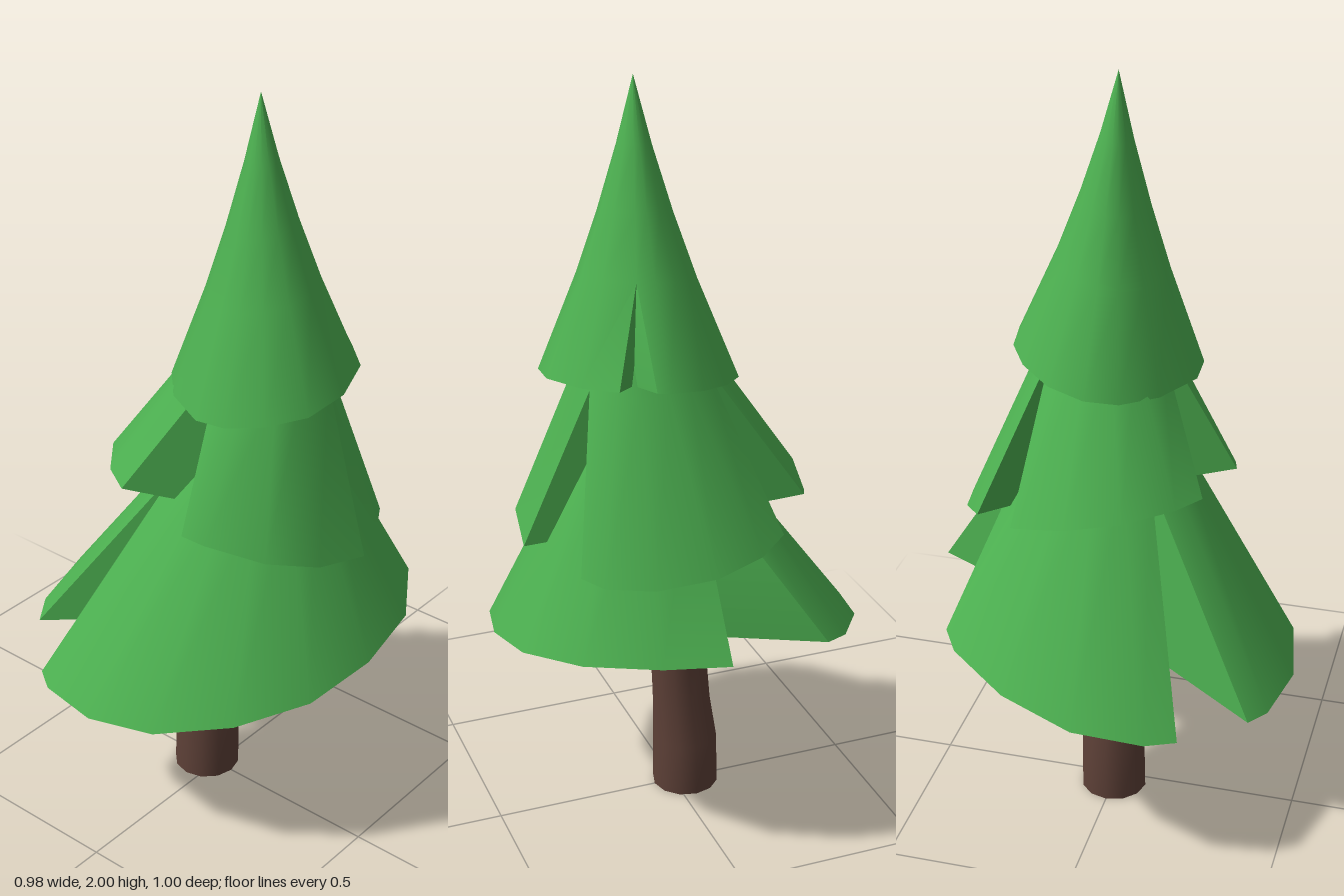
import * as THREE from 'three';
import { toCreasedNormals } from 'three/addons/utils/BufferGeometryUtils.js';

const V = (x, y, z) => new THREE.Vector3(x, y, z);

// Turns a list of triangles (Vector3 triples) into a softly creased geometry.
function fromTriangles(tris) {
  const solid = tris.filter(([a, b, c]) => b.clone().sub(a).cross(c.clone().sub(a)).length() > 1e-8);
  const geo = new THREE.BufferGeometry().setFromPoints(solid.flat());
  return toCreasedNormals(geo, 0.7);
}

// Skins stacked rings of equal point count; the first is the bottom.
function skin(rings) {
  const tris = [];
  for (let k = 0; k + 1 < rings.length; k++) {
    const a = rings[k], b = rings[k + 1], n = a.length;
    for (let i = 0; i < n; i++) {
      const j = (i + 1) % n;
      tris.push([a[i], a[j], b[j]], [a[i], b[j], b[i]]);
    }
  }
  return tris;
}

// Closes the bottom ring with a fan round a centre point.
function cap(ring, centre) {
  return ring.map((p, i) => [centre, ring[(i + 1) % ring.length], p]);
}

// One leaning cone of foliage. The rim is a list of [x, z], where a third
// entry marks the inner corner of a split that closes at height fraction `split`.
function foliageTier({ rim, centre, plane, tip, split, curve }) {
  const [c, a, b] = plane;
  const onPlane = (x, z) => V(x, c + a * x + b * z, z);
  const mid = onPlane(...centre);
  const base = rim.map(([x, z]) => onPlane(x, z));
  const n = rim.length;
  // Rim with each split pulled together into a single outer point
  const closed = base.map((p) => p.clone());
  rim.forEach((r, i) => {
    if (!r[2]) return;
    const before = (i + n - 1) % n, after = (i + 1) % n;
    const p = base[before].clone().sub(mid), q = base[after].clone().sub(mid);
    const radius = (p.length() + q.length()) / 2;
    const joined = p.add(q).setLength(radius).add(mid);
    for (const k of [before, i, after]) closed[k].copy(joined);
  });
  const ringAt = (t) => closed.map((p) => {
    const s = (1 - t) * (1 - curve * t);
    return V(
      tip.x + (p.x - tip.x) * s,
      p.y + (tip.y - p.y) * t,
      tip.z + (p.z - tip.z) * s
    );
  });
  const rings = [base, ...[0, 0.33, 0.66, 1].map((f) => ringAt(split + (1 - split) * f))];
  return fromTriangles([...skin(rings), ...cap(base, mid)]);
}

const TIERS = [
  {
    name: 'lowerFoliage', centre: [0.02, 0.02], plane: [0.53, 0.2, 0.08],
    tip: V(0.06, 1.34, 0.14), split: 0.6, curve: 0,
    rim: [
      [-0.415, -0.26], [-0.455, -0.2], [-0.49, -0.02], [-0.455, 0.17], [-0.34, 0.34],
      [-0.18, 0.46], [0.01, 0.5], [0.2, 0.48], [0.36, 0.375], [0.455, 0.2], [0.49, 0.03],
      [0.25, -0.03, 1],
      [0.39, -0.275], [0.345, -0.345], [0.185, -0.45], [-0.01, -0.5], [-0.19, -0.465], [-0.265, -0.415],
      [-0.107, -0.115, 1],
    ],
  },
  {
    name: 'middleFoliage', centre: [0.06, 0.06], plane: [0.915, -0.18, -0.155],
    tip: V(0.08, 1.62, 0.15), split: 0.54, curve: 0,
    rim: [
      [-0.29, 0.13], [-0.275, 0.19], [-0.2, 0.325], [-0.085, 0.405], [0.07, 0.43],
      [0.105, 0.253, 1],
      [0.255, 0.34], [0.32, 0.3], [0.385, 0.19], [0.412, 0.04], [0.385, -0.09], [0.33, -0.17],
      [0.16, -0.02, 1],
      [0.205, -0.28], [0.19, -0.288], [0.055, -0.315], [-0.085, -0.285], [-0.2, -0.19], [-0.25, -0.105],
      [-0.114, 0.054, 1],
    ],
  },
  {
    name: 'upperFoliage', centre: [0.055, 0.105], plane: [1.235, 0.15, 0.09],
    tip: V(0.027, 2, 0.112), split: 0.34, curve: 0.3,
    rim: [
      [-0.187, 0.09], [-0.185, 0.18], [-0.14, 0.268], [-0.06, 0.34], [0.06, 0.355], [0.19, 0.31], [0.258, 0.235],
      [0.19, 0.175, 1],
      [0.288, 0.15], [0.297, 0.12], [0.285, 0.03], [0.235, -0.05], [0.15, -0.118],
      [0.05, -0.143], [-0.035, -0.12], [-0.12, -0.04],
    ],
  },
];

// Trunk cross-sections: height, centre x, centre z, radius
const TRUNK = [
  [0, 0, -0.035, 0.09],
  [0.15, 0.002, -0.033, 0.088],
  [0.27, -0.002, -0.024, 0.079],
  [0.42, 0.005, -0.012, 0.076],
  [0.54, 0.012, -0.006, 0.07],
  [0.7, 0.025, 0.02, 0.05],
];

function trunkGeometry(sides = 12) {
  const rings = TRUNK.map(([y, x, z, r]) => Array.from({ length: sides }, (_, i) => {
    const t = (i / sides) * Math.PI * 2;
    return V(x + r * Math.sin(t), y, z + r * Math.cos(t));
  }));
  const [y, x, z] = TRUNK[0];
  return fromTriangles([...skin(rings), ...cap(rings[0], V(x, y, z))]);
}

export function createModel() {
  const tree = new THREE.Group();
  tree.name = 'tree';
  const leaf = new THREE.MeshStandardMaterial({ color: 0x4caf50 });
  const bark = new THREE.MeshStandardMaterial({ color: 0x5d4037 });

  const trunk = new THREE.Mesh(trunkGeometry(), bark);
  trunk.name = 'trunk';
  tree.add(trunk);

  for (const tier of TIERS) {
    const mesh = new THREE.Mesh(foliageTier(tier), leaf);
    mesh.name = tier.name;
    tree.add(mesh);
  }
  return tree;
}
